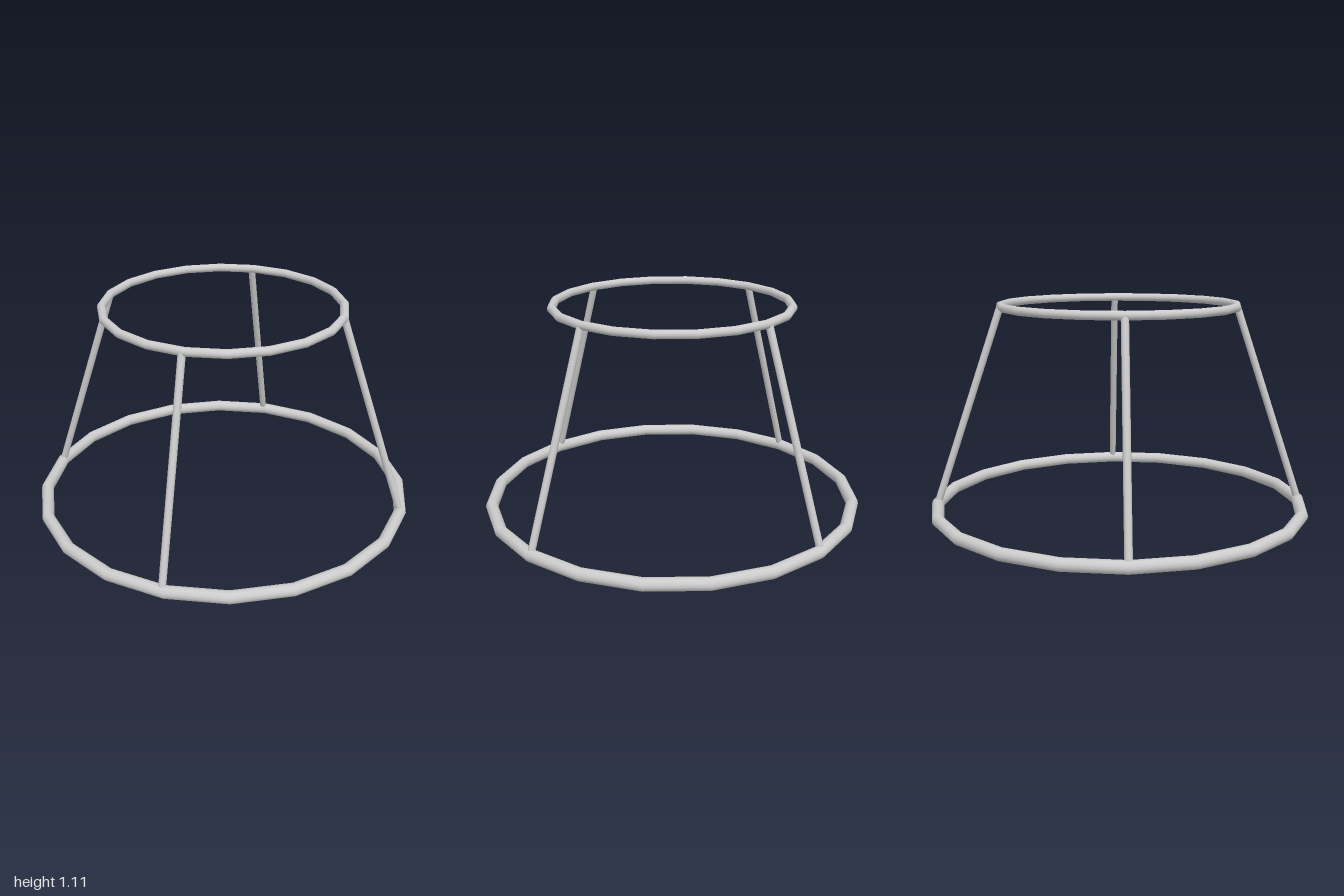
import * as THREE from 'three';

const material = new THREE.MeshStandardMaterial({ color: 0xcccccc });

// Horizontal hoop with 20 straight segments, centred at height y
function makeRing(name, radius, tube, y) {
  const geometry = new THREE.TorusGeometry(radius, tube, 12, 20).rotateX(Math.PI / 2);
  const ring = new THREE.Mesh(geometry, material);
  ring.name = name;
  ring.position.y = y;
  return ring;
}

// Round bar running from one point to another
function makeBar(name, from, to, radius) {
  const dir = to.clone().sub(from);
  const bar = new THREE.Mesh(new THREE.CylinderGeometry(radius, radius, dir.length(), 12), material);
  bar.name = name;
  bar.position.copy(from).lerp(to, 0.5);
  bar.quaternion.setFromUnitVectors(new THREE.Vector3(0, 1, 0), dir.normalize());
  return bar;
}

export function createModel() {
  const model = new THREE.Group();
  model.name = 'taperedFrame';

  const base = { radius: 0.968, tube: 0.032, y: 0.032 };
  const top = { radius: 0.61, tube: 0.022, y: 1.085 };
  model.add(makeRing('baseRing', base.radius, base.tube, base.y));
  model.add(makeRing('topRing', top.radius, top.tube, top.y));

  // Four sloping struts; the front and back ones sit slightly off centre
  const struts = [
    ['leftStrut', 1, 0, 0],
    ['rightStrut', -1, 0, 0],
    ['frontStrut', 0, 1, -0.013],
    ['backStrut', 0, -1, -0.013],
  ];
  for (const [name, dx, dz, shift] of struts) {
    const at = ({ radius, y }) => new THREE.Vector3(dx * radius + shift, y, dz * radius);
    model.add(makeBar(name, at(base), at(top), 0.019));
  }
  return model;
}
